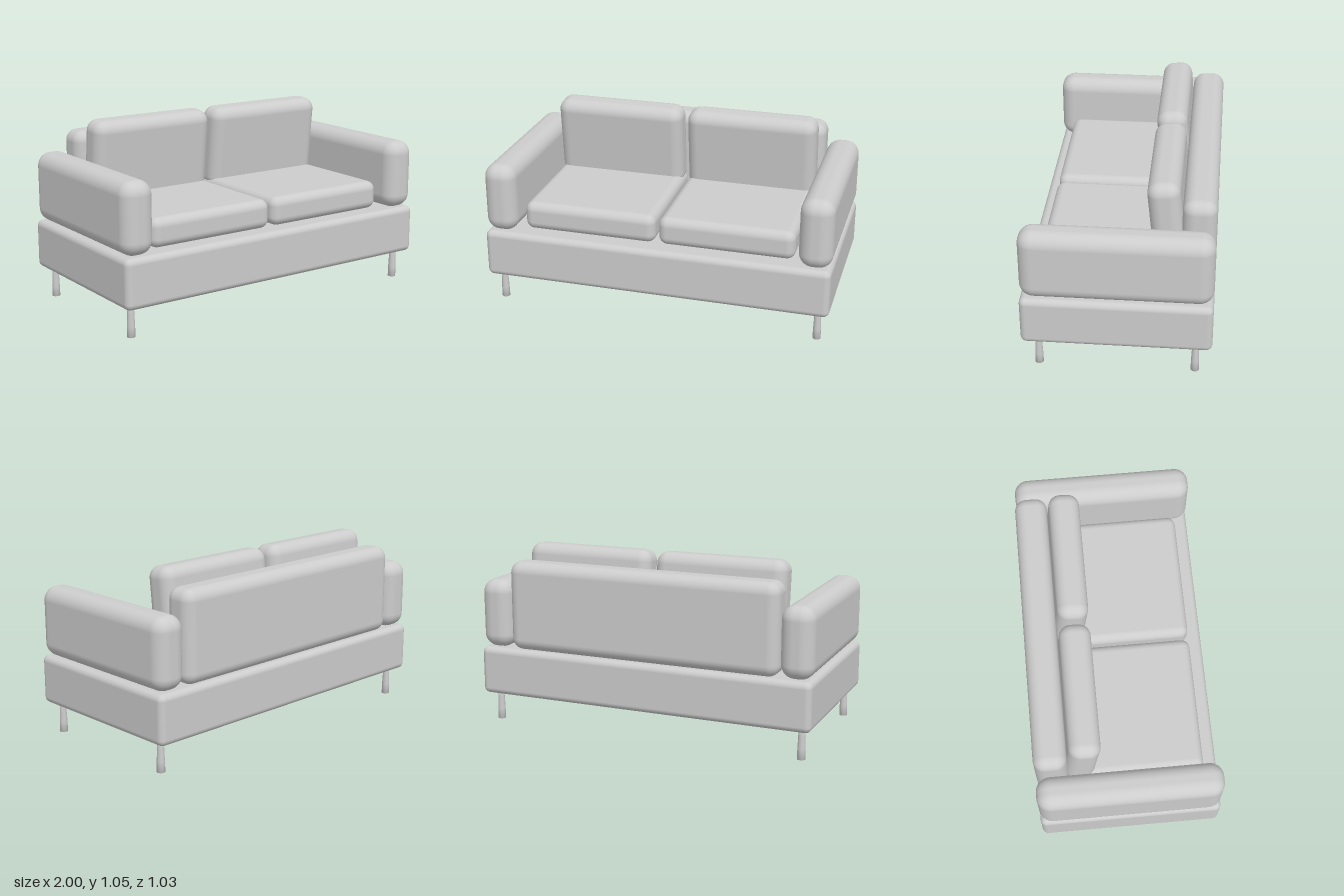
import * as THREE from 'three';
import { RoundedBoxGeometry } from 'three/addons/geometries/RoundedBoxGeometry.js';

export function createModel() {
  const sofa = new THREE.Group();
  sofa.name = 'sofa';
  const grey = new THREE.MeshStandardMaterial({ color: 0xcccccc });
  grey.name = 'light grey';

  // Soft block given by its extents along each axis
  function block(name, [x0, x1], [y0, y1], [z0, z1], radius) {
    const geometry = new RoundedBoxGeometry(x1 - x0, y1 - y0, z1 - z0, 6, radius);
    const mesh = new THREE.Mesh(geometry, grey);
    mesh.name = name;
    mesh.position.set((x0 + x1) / 2, (y0 + y1) / 2, (z0 + z1) / 2);
    sofa.add(mesh);
    return mesh;
  }

  block('base', [-1, 1], [0.17, 0.45], [-0.515, 0.515], 0.035);
  block('backrest', [-0.81, 0.81], [0.45, 0.965], [-0.515, -0.332], 0.065);

  // Tapered leg, slim at the top and wider at the foot
  const legProfile = [[0, 0], [0.023, 0], [0.022, 0.06], [0.019, 0.13], [0.018, 0.19], [0, 0.19]]
    .map(([r, y]) => new THREE.Vector2(r, y));
  const legGeometry = new THREE.CylinderGeometry(0.018, 0.023, 0.18, 24, 4);
  legGeometry.translate(0, 0.09, 0);

  for (const side of [1, -1]) {
    const label = side > 0 ? 'left' : 'right';
    const span = (a, b) => (side > 0 ? [a, b] : [-b, -a]);

    block(label + 'Arm', span(0.812, 1), [0.45, 0.85], [-0.515, 0.515], 0.078);
    block(label + 'SeatCushion', span(0.01, 0.785), [0.45, 0.615], [-0.335, 0.43], 0.05);

    // Back cushion leans slightly forward
    const cushion = block(label + 'BackCushion', span(0.017, 0.782), [0.555, 1.045], [-0.338, -0.162], 0.066);
    cushion.rotation.x = 0.1;

    for (const z of [0.425, -0.425]) {
      const leg = new THREE.Mesh(legGeometry, grey);
      leg.name = label + (z > 0 ? 'FrontLeg' : 'BackLeg');
      leg.position.set(side * 0.93, 0, z);
      sofa.add(leg);
    }
  }
  // Legs follow the turned profile
  const turned = new THREE.LatheGeometry(legProfile, 24);
  sofa.traverse((part) => {
    if (part.name.endsWith('Leg')) part.geometry = turned;
  });
  return sofa;
}
